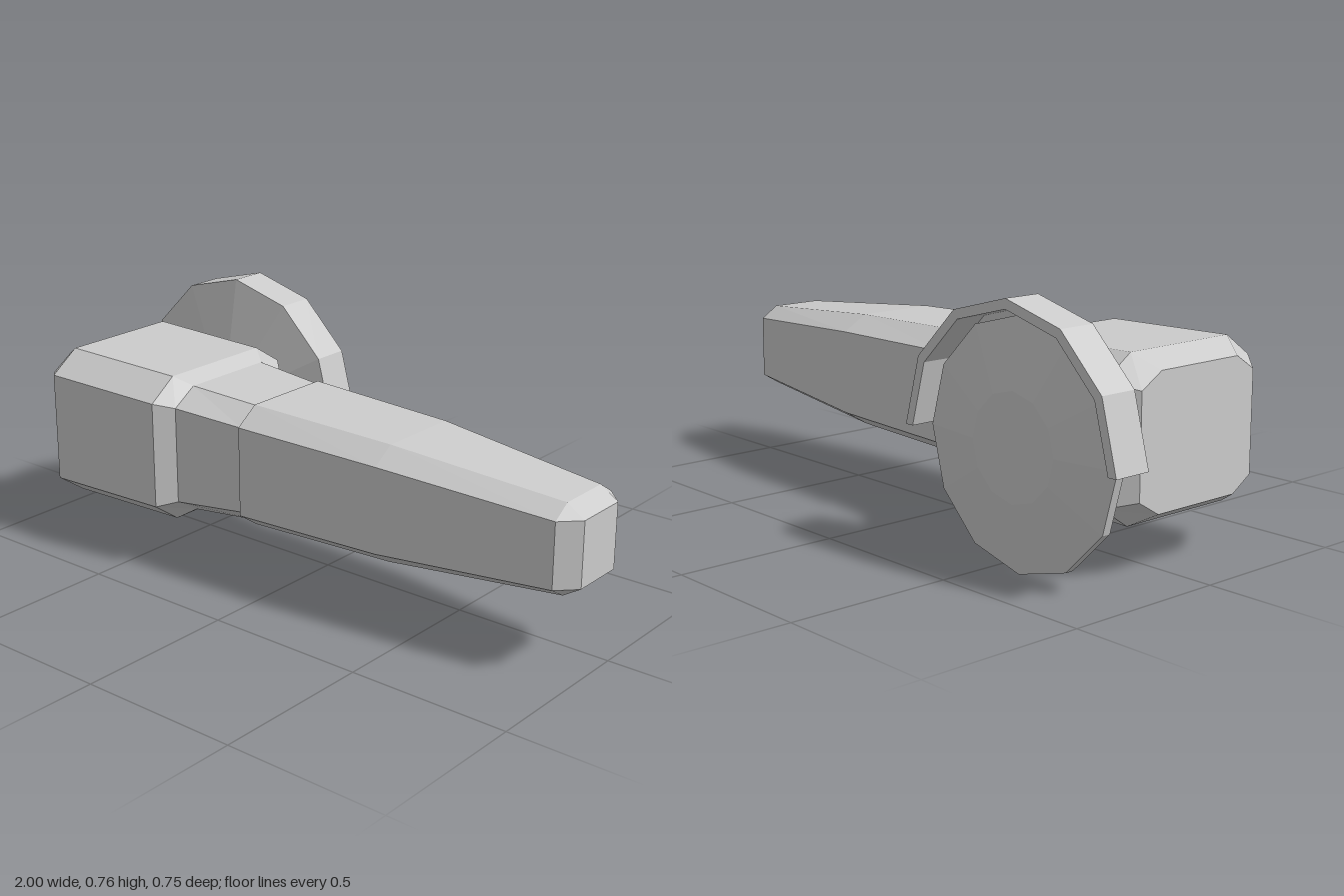
import * as THREE from 'three';

const material = new THREE.MeshStandardMaterial({ color: 0xcccccc, flatShading: true });
const thin = new THREE.MeshStandardMaterial({ color: 0xcccccc, flatShading: true, side: THREE.DoubleSide });

// Chamfered rectangle in the yz plane: outer limits plus the flat spans of sides and top.
function ring([x, yLo, yHi, sLo, sHi, z0, z1, t0, t1]) {
  return [[z0, sLo], [z0, sHi], [t0, yHi], [t1, yHi], [z1, sHi], [z1, sLo], [t1, yLo], [t0, yLo]]
    .map(([z, y]) => new THREE.Vector3(x, y, z));
}

function geometryFrom(triangles) {
  const geo = new THREE.BufferGeometry().setFromPoints(triangles);
  geo.computeVertexNormals();
  return geo;
}

function quad(out, a, b, c, d) {
  out.push(a, b, c, a, c, d);
}

// Loft through the sections; can leave the underside facet open.
function loft(sections, openBottom = false) {
  const rings = sections.map(ring);
  const tris = [];
  for (let s = 0; s < rings.length - 1; s++) {
    const a = rings[s], b = rings[s + 1];
    for (let i = 0; i < 8; i++) {
      if (openBottom && i === 6) continue;
      const j = (i + 1) % 8;
      quad(tris, a[i], a[j], b[j], b[i]);
    }
  }
  const first = rings[0], last = rings[rings.length - 1];
  for (let i = 1; i < 7; i++) {
    tris.push(first[0], first[i + 1], first[i]);
    tris.push(last[0], last[i], last[i + 1]);
  }
  return geometryFrom(tris);
}

// Underside panel with a rectangular pocket sunk into it.
function pocketPanel(a, b) {
  const p = ring(a), q = ring(b);
  const outer = [p[6], p[7], q[7], q[6]];
  const at = (u, v) => outer[0].clone().lerp(outer[3], u)
    .lerp(outer[1].clone().lerp(outer[2], u), v);
  const rim = [at(0.15, 0.12), at(0.15, 0.87), at(0.86, 0.87), at(0.86, 0.12)];
  const floor = rim.map(v => v.clone().add(new THREE.Vector3(0, 0.06, 0)));
  const tris = [];
  for (let i = 0; i < 4; i++) {
    const j = (i + 1) % 4;
    quad(tris, outer[i], outer[j], rim[j], rim[i]);
    quad(tris, rim[i], rim[j], floor[j], floor[i]);
  }
  quad(tris, ...floor);
  return geometryFrom(tris);
}

// Lathe around the z axis; profile points are [radius, z].
function latheZ(profile, start = 0, sweep = Math.PI * 2) {
  const points = profile.map(([r, z]) => new THREE.Vector2(r, z));
  const segments = Math.round(sweep / (Math.PI / 6));
  return new THREE.LatheGeometry(points, segments, start, sweep).rotateX(Math.PI / 2);
}

export function createModel() {
  const group = new THREE.Group();
  const add = (parent, name, geo, mat = material) => {
    const mesh = new THREE.Mesh(geo, mat);
    mesh.name = name;
    parent.add(mesh);
    return mesh;
  };

  // Body: x, yLow, yHigh, sideLow, sideHigh, zMin, zMax, topMin, topMax
  const neckStart = [-0.33, 0.176, 0.576, 0.225, 0.525, -0.158, 0.315, -0.07, 0.235];
  const neckEnd = [-0.09, 0.195, 0.56, 0.245, 0.51, -0.13, 0.287, -0.055, 0.215];
  add(group, 'head', loft([
    [-0.875, 0.18, 0.57, 0.225, 0.525, -0.145, 0.305, -0.07, 0.235],
    [-0.8, 0.138, 0.613, 0.204, 0.547, -0.207, 0.373, -0.11, 0.279],
    [-0.38, 0.145, 0.605, 0.21, 0.54, -0.205, 0.362, -0.105, 0.272],
    neckStart,
  ]));
  add(group, 'neck', loft([neckStart, neckEnd], true));
  add(group, 'neckPocket', pocketPanel(neckStart, neckEnd));
  add(group, 'arm', loft([
    [-0.09, 0.188, 0.567, 0.238, 0.515, -0.143, 0.3, -0.06, 0.227],
    [0.4, 0.2, 0.554, 0.247, 0.507, -0.125, 0.281, -0.045, 0.212],
    [0.945, 0.243, 0.51, 0.277, 0.473, -0.057, 0.222, 0, 0.167],
    [1, 0.277, 0.473, 0.277, 0.473, 0, 0.167, 0, 0.167],
  ]));

  // Slanted catch hanging out of the pocket
  const catchShape = new THREE.Shape([[-0.27, 0.16], [-0.13, 0.21], [-0.14, 0.235], [-0.27, 0.185]]
    .map(([x, y]) => new THREE.Vector2(x, y)));
  const catchGeo = new THREE.ExtrudeGeometry(catchShape, { depth: 0.103, bevelEnabled: false });
  add(group, 'catch', catchGeo.translate(0, 0, 0.032));

  // Wheel assembly, centred on its axle
  const wheel = new THREE.Group();
  wheel.name = 'wheelAssembly';
  wheel.position.set(-0.6, 0.355, 0);
  group.add(wheel);

  add(wheel, 'wheelDisc', latheZ([
    [0, -0.345], [0.155, -0.345], [0.355, -0.317],
    [0.355, -0.29], [0.155, -0.265], [0, -0.265],
  ]));
  add(wheel, 'axle', latheZ([[0, -0.28], [0.085, -0.28], [0.085, -0.15], [0, -0.15]]));

  // Half-round guard, open at the back, with closed ends
  const guardProfile = [
    [0, -0.24], [0.185, -0.24], [0.375, -0.275], [0.375, -0.373],
    [0.404, -0.373], [0.404, -0.255], [0.19, -0.217], [0.19, -0.15], [0, -0.15],
  ];
  add(wheel, 'guard', latheZ(guardProfile, Math.PI / 2, Math.PI), thin);
  const endShape = new THREE.Shape(guardProfile.map(([r, z]) => new THREE.Vector2(r, z)));
  for (const side of [0, 1]) {
    const geo = new THREE.ShapeGeometry(endShape).rotateX(Math.PI / 2).rotateZ(side * Math.PI);
    add(wheel, 'guardEnd', geo, thin);
  }
  return group;
}
